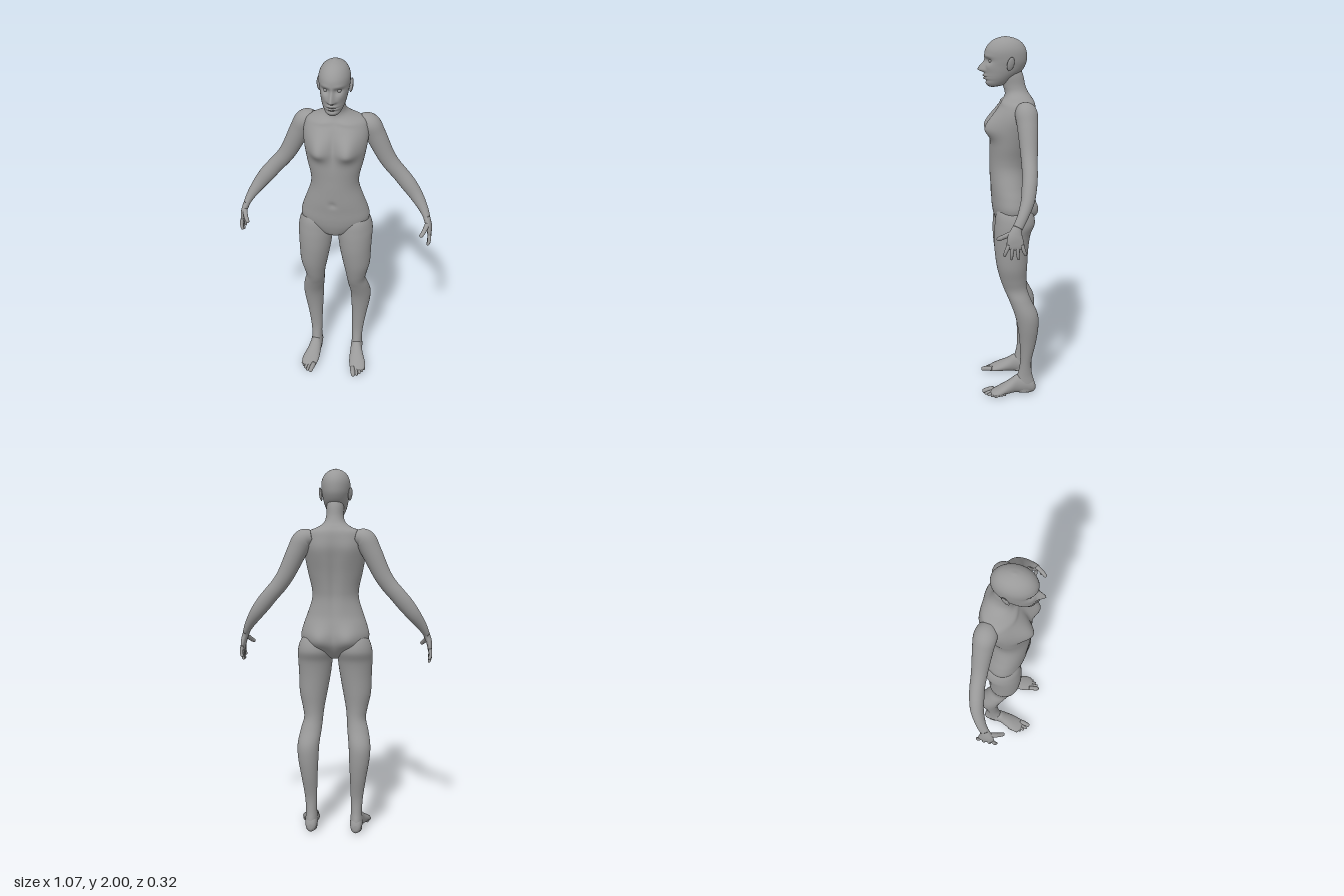
import * as THREE from 'three';

const V = (x, y, z) => new THREE.Vector3(x, y, z);
const bell = (d, s) => Math.exp(-(d * d) / (2 * s * s));
// bell with a different width above and below its centre
const skew = (d, up, down) => bell(d, d > 0 ? up : down);

// smooth interpolation through rows of numbers, u in 0..1
function sample(rows, u) {
  const f = Math.min(Math.max(u, 0), 1) * (rows.length - 1);
  const i = Math.min(Math.floor(f), rows.length - 2), t = f - i;
  const a = rows[Math.max(i - 1, 0)], b = rows[i], c = rows[i + 1], d = rows[Math.min(i + 2, rows.length - 1)];
  return b.map((v, k) => v + 0.5 * t * (c[k] - a[k] + t * (2 * a[k] - 5 * v + 4 * c[k] - d[k] + t * (3 * (v - c[k]) + d[k] - a[k]))));
}

// closed skin over rings; ring(u) returns a function of (cos, sin)
function skin(n, steps, ring) {
  const pos = [], index = [];
  for (let j = 0; j <= steps; j++) {
    const at = ring(j / steps);
    for (let i = 0; i < n; i++) {
      const a = (i / n) * Math.PI * 2;
      pos.push(at(Math.cos(a), Math.sin(a)));
    }
  }
  for (let j = 0; j < steps; j++) for (let i = 0; i < n; i++) {
    const a = j * n + i, b = j * n + (i + 1) % n;
    index.push(a, b, b + n, a, b + n, a + n);
  }
  for (const j of [0, steps]) {
    const mid = V(0, 0, 0);
    for (let i = 0; i < n; i++) mid.addScaledVector(pos[j * n + i], 1 / n);
    pos.push(mid);
    for (let i = 0; i < n; i++) {
      const a = j * n + i, b = j * n + (i + 1) % n;
      if (j) index.push(a, b, pos.length - 1); else index.push(b, a, pos.length - 1);
    }
  }
  // make every face point outwards
  let volume = 0;
  for (let k = 0; k < index.length; k += 3)
    volume += pos[index[k]].dot(V(0, 0, 0).crossVectors(pos[index[k + 1]], pos[index[k + 2]]));
  if (volume < 0) index.reverse();
  const g = new THREE.BufferGeometry().setFromPoints(pos);
  g.setIndex(index);
  g.computeVertexNormals();
  return g;
}

// rows: [level, centre, half width, low, high]; place maps (across, level, depth) to a point
function loft(rows, n, steps, place) {
  return skin(n, steps, (u) => {
    const [t, c, w, lo, hi] = sample(rows, u);
    return (cos, sin) => place(c + w * cos, t, (lo + hi) / 2 + ((hi - lo) / 2) * sin, sin);
  });
}

// rows: [x, y, z, radius towards z, radius across]
function limb(rows, n, steps, side) {
  return skin(n, steps, (u) => {
    const [x, y, z, ra, rb] = sample(rows, u);
    const p = sample(rows, u - 0.01), q = sample(rows, u + 0.01);
    const T = V(q[0] - p[0], q[1] - p[1], q[2] - p[2]).normalize();
    const ref = Math.abs(T.z) > 0.8 ? V(0, 1, 0) : V(0, 0, 1);
    const A = ref.addScaledVector(T, -ref.dot(T)).normalize(), B = V(0, 0, 0).crossVectors(T, A);
    return (cos, sin) => {
      const v = V(x, y, z).addScaledVector(A, ra * cos).addScaledVector(B, rb * sin);
      v.x *= side;
      return v;
    };
  });
}

// finger or toe with a rounded tip
function digit(points, r, side) {
  const profile = [[0, 1], [0.3, 1.02], [0.6, 0.95], [0.85, 0.82], [0.96, 0.5], [1, 0.05]];
  return limb(profile.map(([t, k]) => [...sample(points, t), r * k, r * k]), 14, 20, side);
}

const TORSO = [
  [0.975, 0, 0.03, -0.05, 0.03], [1.0, 0, 0.09, -0.09, 0.065], [1.05, 0, 0.165, -0.12, 0.085],
  [1.1, 0, 0.188, -0.125, 0.094], [1.16, 0, 0.176, -0.12, 0.098], [1.22, 0, 0.155, -0.11, 0.103],
  [1.3, 0, 0.13, -0.103, 0.105], [1.36, 0, 0.13, -0.108, 0.105], [1.44, 0, 0.148, -0.12, 0.105],
  [1.52, 0, 0.163, -0.135, 0.1], [1.58, 0, 0.17, -0.145, 0.085], [1.63, 0, 0.165, -0.142, 0.062],
  [1.665, 0, 0.148, -0.135, 0.04], [1.69, 0, 0.09, -0.12, 0.025], [1.715, 0, 0.058, -0.102, 0.022],
  [1.75, 0, 0.047, -0.087, 0.032], [1.8, 0, 0.046, -0.076, 0.045], [1.84, 0, 0.04, -0.06, 0.04],
];
// chest, seat, spine and navel relief
function torsoShape(x, y, z, s) {
  const ax = Math.abs(x);
  const front = Math.max(s, 0) ** 0.5, back = Math.max(-s, 0) ** 0.5;
  z += front * 0.05 * bell(ax - 0.082, 0.038) * skew(y - 1.53, 0.06, 0.032);
  z -= front * 0.008 * bell(x, 0.014) * (bell(y - 1.55, 0.06) + bell(y - 1.215, 0.012));
  z += front * 0.008 * bell(y - 1.675 + 0.1 * ax, 0.01) * bell(ax - 0.07, 0.04);
  z -= back * 0.043 * bell(ax - 0.085, 0.05) * bell(y - 1.085, 0.05);
  z += back * 0.016 * bell(x, 0.02) * bell(y - 1.4, 0.14);
  z -= back * 0.01 * bell(ax - 0.09, 0.035) * bell(y - 1.56, 0.06);
  return V(x, y, z);
}

const HEAD = [
  [1.742, 0, 0.012, 0.07, 0.1], [1.75, 0, 0.032, 0.03, 0.114], [1.765, 0, 0.044, 0, 0.124],
  [1.79, 0, 0.056, -0.03, 0.127], [1.82, 0, 0.065, -0.065, 0.128], [1.85, 0, 0.071, -0.085, 0.126],
  [1.88, 0, 0.076, -0.094, 0.125], [1.92, 0, 0.078, -0.093, 0.127], [1.95, 0, 0.071, -0.082, 0.115],
  [1.975, 0, 0.055, -0.06, 0.092], [1.992, 0, 0.03, -0.025, 0.06], [2.0, 0, 0.004, 0.012, 0.022],
];
// brow, eye sockets, nose, cheeks and lips
function headShape(x, y, z, s) {
  const ax = Math.abs(x);
  if (s > 0) {
    z += 0.037 * bell(x, 0.007 + 0.12 * Math.max(0, 1.88 - y) * bell(y - 1.83, 0.02)) * skew(y - 1.832, 0.026, 0.008);
    z -= 0.015 * bell(ax - 0.032, 0.015) * bell(y - 1.878, 0.011);
    z += 0.005 * bell(ax - 0.035, 0.02) * bell(y - 1.9, 0.008);
    z += 0.006 * bell(ax - 0.045, 0.014) * bell(y - 1.845, 0.014);
    z += 0.011 * bell(x, 0.015) * (bell(y - 1.802, 0.005) + bell(y - 1.787, 0.005));
    z -= 0.006 * bell(x, 0.022) * bell(y - 1.7945, 0.0025);
    z -= 0.007 * bell(x, 0.03) * bell(y - 1.776, 0.006);
  }
  return V(x, y, z);
}

const LEG = [
  [1.14, 0.1, 0.045, -0.08, 0.045], [1.08, 0.105, 0.083, -0.122, 0.073], [1.02, 0.108, 0.098, -0.135, 0.082],
  [0.96, 0.111, 0.095, -0.112, 0.086], [0.88, 0.115, 0.088, -0.1, 0.085], [0.78, 0.122, 0.077, -0.094, 0.073],
  [0.7, 0.121, 0.061, -0.09, 0.053], [0.64, 0.12, 0.053, -0.095, 0.032], [0.58, 0.13, 0.058, -0.116, 0.006],
  [0.5, 0.142, 0.06, -0.153, -0.024], [0.42, 0.142, 0.056, -0.158, -0.042], [0.32, 0.136, 0.045, -0.146, -0.054],
  [0.2, 0.129, 0.034, -0.122, -0.058], [0.12, 0.127, 0.031, -0.126, -0.045], [0.06, 0.127, 0.034, -0.141, -0.025],
  [0.01, 0.127, 0.03, -0.135, -0.03],
];
const FOOT = [
  [-0.146, 0.126, 0.012, 0.02, 0.05], [-0.132, 0.126, 0.028, 0.004, 0.08], [-0.09, 0.127, 0.035, 0, 0.11],
  [-0.04, 0.129, 0.036, 0.004, 0.112], [0, 0.135, 0.042, 0.004, 0.085], [0.05, 0.146, 0.05, 0, 0.056],
  [0.085, 0.15, 0.046, 0, 0.038], [0.105, 0.147, 0.036, 0.002, 0.028], [0.115, 0.145, 0.02, 0.006, 0.02],
];
const ARM = [
  [0.12, 1.635, -0.075, 0.045, 0.04], [0.165, 1.622, -0.08, 0.058, 0.056], [0.2, 1.56, -0.085, 0.054, 0.054],
  [0.256, 1.445, -0.088, 0.045, 0.047], [0.295, 1.385, -0.088, 0.041, 0.044], [0.34, 1.333, -0.087, 0.039, 0.043],
  [0.385, 1.28, -0.08, 0.038, 0.043], [0.43, 1.223, -0.068, 0.034, 0.037], [0.475, 1.16, -0.04, 0.027, 0.026],
  [0.5, 1.115, -0.015, 0.025, 0.018],
];
const PALM = [
  [0.488, 1.14, -0.03, 0.022, 0.018], [0.503, 1.105, -0.01, 0.027, 0.018], [0.515, 1.07, -0.002, 0.038, 0.016],
  [0.52, 1.04, -0.003, 0.043, 0.013], [0.521, 1.02, -0.004, 0.041, 0.011], [0.521, 1.01, -0.004, 0.032, 0.006],
];
// fingers: [base z, tip z, tip y]
const FINGERS = [[0.028, 0.052, 0.975], [0.008, 0.017, 0.956], [-0.014, -0.02, 0.956], [-0.035, -0.057, 0.977]];
// toes: [base x, tip x, tip z, radius]
const TOES = [[0.121, 0.135, 0.16, 0.014], [0.14, 0.156, 0.148, 0.0095], [0.155, 0.171, 0.132, 0.0095],
  [0.168, 0.184, 0.113, 0.009], [0.18, 0.194, 0.093, 0.009]];

export function createModel() {
  const grey = new THREE.MeshStandardMaterial({ color: 0x999999 });
  grey.name = 'body grey';
  const model = new THREE.Group();
  model.name = 'standingFigure';
  const add = (name, geometry) => {
    const mesh = new THREE.Mesh(geometry, grey);
    mesh.name = name;
    model.add(mesh);
    return mesh;
  };

  add('torsoAndNeck', loft(TORSO, 96, 110, torsoShape));
  add('head', loft(HEAD, 112, 120, headShape));

  for (const [side, label] of [[1, 'left'], [-1, 'right']]) {
    // eyes and ears
    add(label + 'Eye', new THREE.SphereGeometry(0.012, 20, 14)).position.set(side * 0.032, 1.878, 0.095);
    const ear = add(label + 'Ear', new THREE.SphereGeometry(1, 20, 16));
    ear.scale.set(0.008, 0.036, 0.02);
    ear.position.set(side * 0.08, 1.865, -0.005);
    ear.rotation.set(-0.2, side * 0.4, -side * 0.1);

    // legs, feet and toes
    add(label + 'Leg', loft(LEG, 48, 90, (x, y, z) => V(side * x, y, z)));
    add(label + 'Foot', loft(FOOT, 32, 40, (x, z, y) => V(side * x, y, z)));
    for (const [bx, tx, tz, r] of TOES)
      add(label + 'Toe', digit([[bx, r + 0.008, tz - 0.065], [(bx + tx) / 2, r + 0.007, tz - 0.03], [tx, r, tz]], r, side));

    // arms, hands and fingers
    add(label + 'Arm', limb(ARM, 36, 70, side));
    add(label + 'Palm', limb(PALM, 28, 30, side));
    for (const [bz, tz, ty] of FINGERS)
      add(label + 'Finger', digit([[0.52, 1.035, bz], [0.524, (1.035 + ty) / 2, (bz + tz) / 2 + 0.002], [0.516, ty, tz]], 0.0095, side));
    add(label + 'Thumb', digit([[0.508, 1.095, 0.005], [0.494, 1.07, 0.05], [0.473, 1.048, 0.085]], 0.0125, side));
  }
  return model;
}
